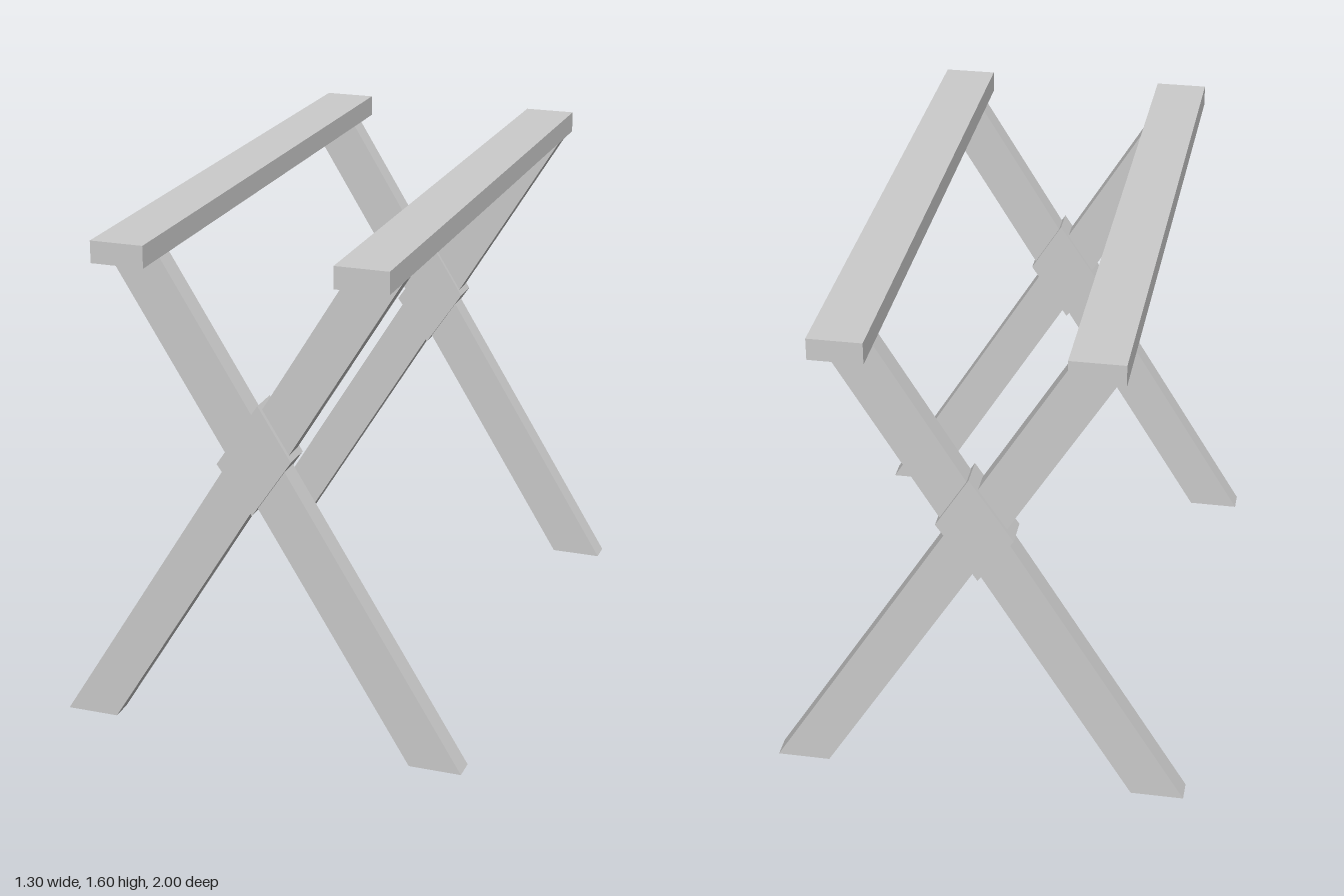
import * as THREE from 'three';

const material = new THREE.MeshStandardMaterial({ color: 0xcccccc, flatShading: true });

// Flat outline in x/y, extruded to a given depth and centred on z = 0
function slab(name, points, depth) {
  const shape = new THREE.Shape(points.map(([x, y]) => new THREE.Vector2(x, y)));
  const geometry = new THREE.ExtrudeGeometry(shape, { depth, bevelEnabled: false });
  geometry.translate(0, 0, -depth / 2);
  const mesh = new THREE.Mesh(geometry, material);
  mesh.name = name;
  return mesh;
}

// One X-shaped trestle: two crossing legs and the block at the crossing
function trestle(name, z) {
  const group = new THREE.Group();
  group.name = name;
  for (const s of [-1, 1]) {
    const outline = [[0.65, 0], [0.485, 0], [-0.455, 1.527], [-0.29, 1.527]].map(([x, y]) => [s * x, y]);
    group.add(slab(s > 0 ? 'leftLeg' : 'rightLeg', outline, 0.07));
  }
  group.add(slab('crossingBlock', [[0.015, 1.11], [-0.118, 0.91], [-0.008, 0.758], [0.118, 0.945]], 0.1));
  group.position.z = z;
  return group;
}

export function createModel() {
  const model = new THREE.Group();
  model.name = 'trestleStand';
  model.add(trestle('frontTrestle', 0.85), trestle('backTrestle', -0.85));

  // Long rails resting on the leg tops
  for (const s of [-1, 1]) {
    const rail = new THREE.Mesh(new THREE.BoxGeometry(0.165, 0.068, 2), material);
    rail.name = s > 0 ? 'leftRail' : 'rightRail';
    rail.position.set(s * 0.3725, 1.561, 0);
    model.add(rail);
  }
  return model;
}
